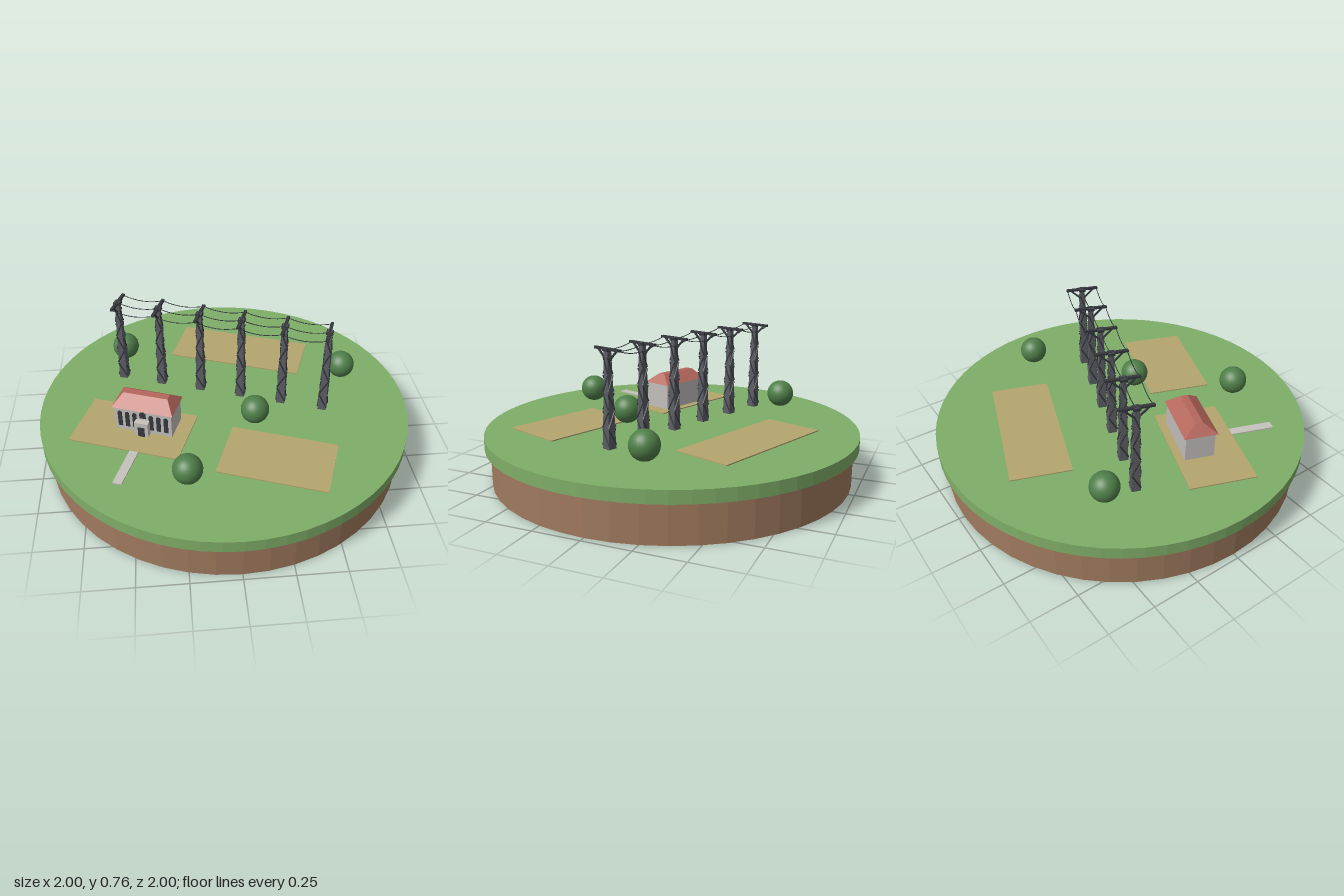
import * as THREE from 'three';

const mat = (name, color, side = THREE.FrontSide) => {
  const m = new THREE.MeshStandardMaterial({ color, side });
  m.name = name;
  return m;
};
const grass = mat('grass green', 0x7fae68);
const soil = mat('soil brown', 0xa07a5e);
const dirt = mat('field tan', 0xb5a66e);
const stone = mat('path grey', 0xc6c2bc);
const wallMat = mat('wall grey', 0xc2bebb);
const roofMat = mat('roof red', 0xb5675c);
const leaf = mat('leaf green', 0x4f7f49);
const steel = mat('steel grey', 0x5b5d63);
const dark = mat('dark grey', 0x36383e);

const TURN = -0.349; // everything on the island shares this heading
const GROUND = 0.265;

function add(parent, name, geo, material, x = 0, y = 0, z = 0) {
  const m = new THREE.Mesh(geo, material);
  m.name = name;
  m.position.set(x, y, z);
  parent.add(m);
  return m;
}
const box = (w, h, d) => new THREE.BoxGeometry(w, h, d);

function flat(geo) {
  const g = geo.toNonIndexed();
  g.computeVertexNormals();
  return g;
}

function group(parent, name, x, y, z, turn = 0) {
  const g = new THREE.Group();
  g.name = name;
  g.position.set(x, y, z);
  g.rotation.y = turn;
  parent.add(g);
  return g;
}

// Square bar between two points
function bar(parent, name, a, b, t, material) {
  const from = new THREE.Vector3(...a), to = new THREE.Vector3(...b);
  const m = add(parent, name, box(t, t, from.distanceTo(to)), material);
  m.position.copy(from).add(to).multiplyScalar(0.5);
  const dir = to.sub(from).normalize();
  m.quaternion.setFromUnitVectors(new THREE.Vector3(0, 0, 1), dir);
  return m;
}

// Box whose top is scaled to a smaller rectangle
function frustum(w, h, d, topW, topD) {
  const g = box(w, h, d).toNonIndexed();
  const p = g.attributes.position;
  for (let i = 0; i < p.count; i++) {
    if (p.getY(i) > 0) p.setXYZ(i, Math.sign(p.getX(i)) * topW / 2, h / 2, Math.sign(p.getZ(i)) * topD / 2);
  }
  g.computeVertexNormals();
  return g;
}

// Arched opening, base at y = 0
function archShape(w, h) {
  const s = new THREE.Shape();
  s.moveTo(-w / 2, 0);
  s.lineTo(w / 2, 0);
  s.lineTo(w / 2, h - w / 2);
  s.absarc(0, h - w / 2, w / 2, 0, Math.PI, false);
  s.closePath();
  return new THREE.ExtrudeGeometry(s, { depth: 0.004, bevelEnabled: false, curveSegments: 6 });
}

function buildHouse(root) {
  const house = group(root, 'house', -0.415, GROUND, 0.155, TURN);
  add(house, 'walls', box(0.31, 0.15, 0.156), wallMat, 0, 0.075, 0);
  add(house, 'roof', frustum(0.33, 0.054, 0.178, 0.24, 0.04), roofMat, 0, 0.176, 0);
  for (const side of [-1, 1]) {
    for (const x of [0.045, 0.085, 0.125]) {
      add(house, 'window', archShape(0.023, 0.095), dark, side * x, 0.03, 0.077);
    }
  }
  add(house, 'upperWindow', archShape(0.034, 0.04), dark, 0, 0.1, 0.077);
  // Entrance porch
  add(house, 'porch', box(0.074, 0.09, 0.036), stone, 0, 0.045, 0.094);
  add(house, 'door', box(0.036, 0.064, 0.004), dark, 0, 0.032, 0.1125);
}

const TOP = 0.495; // arm height above the ground
const ARM = 0.083;

function buildPylon(line, x) {
  const pylon = group(line, 'pylon', x, 0, 0);
  const base = 0.046, tip = 0.024;
  add(pylon, 'tower', frustum(base, TOP, base, tip, tip), steel, 0, TOP / 2, 0);
  // Diagonal bracing wound around the four faces
  const half = y => (base + (tip - base) * y / TOP) / 2 + 0.001;
  for (let face = 0; face < 4; face++) {
    const side = group(pylon, 'bracing', 0, 0, 0, face * Math.PI / 2);
    for (let i = 0; i < 5; i++) {
      const y0 = 0.02 + i * 0.088, y1 = y0 + 0.08;
      const s = i % 2 ? 1 : -1;
      bar(side, 'brace', [-s * half(y0), y0, half(y0)], [s * half(y1), y1, half(y1)], 0.006, dark);
    }
  }
  // Crossarm with struts
  add(pylon, 'crossarm', box(0.016, 0.012, 0.176), dark, 0, TOP - 0.005, 0);
  add(pylon, 'cap', box(0.036, 0.014, 0.036), dark, 0, TOP - 0.008, 0);
  for (const s of [-1, 1]) {
    bar(pylon, 'strut', [0, TOP - 0.06, s * 0.01], [0, TOP - 0.008, s * 0.065], 0.008, dark);
  }
}

function buildPowerLine(root) {
  const line = group(root, 'powerLine', -0.01, GROUND, -0.095, TURN);
  const count = 6, step = 0.23;
  for (let i = 0; i < count; i++) {
    const x = (i - (count - 1) / 2) * step;
    buildPylon(line, x);
    if (i === count - 1) break;
    // Sagging wires to the next pylon
    for (const z of [-ARM, 0, ARM]) {
      const y = TOP - 0.008;
      const path = new THREE.QuadraticBezierCurve3(
        new THREE.Vector3(x, y, z),
        new THREE.Vector3(x + step / 2, y - 0.04, z),
        new THREE.Vector3(x + step, y, z));
      add(line, 'wire', new THREE.TubeGeometry(path, 8, 0.0022, 5), dark);
    }
  }
}

export function createModel() {
  const root = new THREE.Group();
  root.name = 'island';

  // Round base
  add(root, 'soilBase', flat(new THREE.CylinderGeometry(0.97, 0.97, 0.2, 48)), soil, 0, 0.1, 0);
  add(root, 'grassTop', flat(new THREE.CylinderGeometry(1, 1, 0.065, 64)), grass, 0, 0.2325, 0);

  // Fields: x, z, length, width
  for (const [x, z, w, d] of [
    [0.14, -0.49, 0.765, 0.316],
    [0.23, 0.487, 0.56, 0.345],
    [-0.492, 0.185, 0.592, 0.35],
  ]) {
    add(root, 'field', box(w, 0.008, d), dirt, x, GROUND + 0.002, z).rotation.y = TURN;
  }
  add(root, 'path', box(0.047, 0.008, 0.235), stone, -0.533, GROUND + 0.003, 0.483).rotation.y = TURN;

  buildHouse(root);
  buildPowerLine(root);

  // Round bushes
  for (const [x, z] of [[-0.54, -0.46], [0.683, -0.16], [0.145, 0.2], [-0.23, 0.615]]) {
    add(root, 'bush', new THREE.SphereGeometry(0.075, 24, 16), leaf, x, 0.36, z);
  }
  return root;
}
